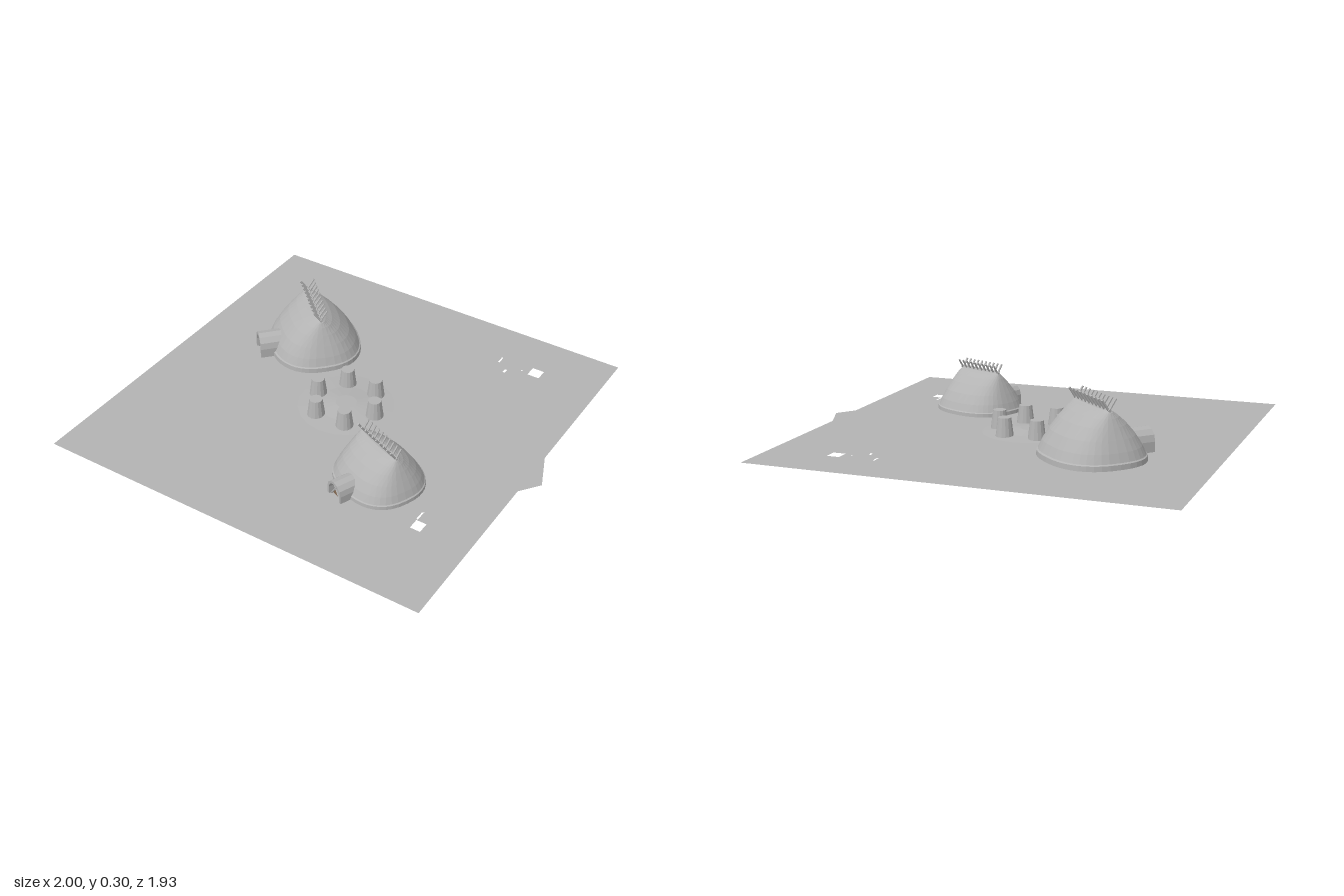
import * as THREE from 'three';

const grey = new THREE.MeshStandardMaterial({ color: 0xb3b3b3, side: THREE.DoubleSide, flatShading: true });
grey.name = 'stoneGrey';
const brown = new THREE.MeshStandardMaterial({ color: 0x856a54, side: THREE.DoubleSide });
brown.name = 'earthBrown';

const V2 = (x, y) => new THREE.Vector2(x, y);

function add(parent, name, geometry, material = grey) {
  const m = new THREE.Mesh(geometry, material);
  m.name = name;
  parent.add(m);
  return m;
}

// Flat shape drawn in x/z at height y
function sheet(shape, y) {
  return new THREE.ShapeGeometry(shape, 32).rotateX(Math.PI / 2).translate(0, y, 0);
}

// Straight pole between two points
function pole(parent, name, a, b, r) {
  const d = b.clone().sub(a);
  const m = add(parent, name, new THREE.CylinderGeometry(r, r, d.length(), 6));
  m.position.copy(a).add(b).multiplyScalar(0.5);
  m.quaternion.setFromUnitVectors(new THREE.Vector3(0, 1, 0), d.normalize());
  return m;
}

// Skin over cross-sections [y, half length, half width], closed at the top
function loft(levels, sides, power) {
  const pos = [], idx = [];
  const soft = v => Math.sign(v) * Math.pow(Math.abs(v), 2 / power);
  for (const [y, a, b] of levels) {
    for (let i = 0; i < sides; i++) {
      const t = (i / sides) * Math.PI * 2;
      pos.push(a * soft(Math.cos(t)), y, b * soft(Math.sin(t)));
    }
  }
  for (let l = 0; l < levels.length - 1; l++) {
    for (let i = 0; i < sides; i++) {
      const p = l * sides + i, q = l * sides + (i + 1) % sides;
      idx.push(p, p + sides, q, q, p + sides, q + sides);
    }
  }
  const last = (levels.length - 1) * sides;
  pos.push(0, levels[levels.length - 1][0], 0);
  for (let i = 0; i < sides; i++) idx.push(last + i, levels.length * sides, last + (i + 1) % sides);
  const g = new THREE.BufferGeometry();
  g.setAttribute('position', new THREE.Float32BufferAttribute(pos, 3));
  g.setIndex(idx);
  g.computeVertexNormals();
  return g;
}

// Upright arch outline with its feet at y = 0
function arch(target, w, h) {
  target.moveTo(-w, 0);
  target.lineTo(w, 0);
  target.lineTo(w, h - w);
  for (let i = 1; i <= 6; i++) {
    const t = (i / 6) * Math.PI;
    target.lineTo(w * Math.cos(t), h - w + w * Math.sin(t));
  }
  target.closePath();
  return target;
}

function makeHut(name, x, z, turn, scale) {
  const hut = new THREE.Group();
  hut.name = name;

  // Wall kerb and rounded roof narrowing to a ridge
  add(hut, 'kerb', loft([[0.005, 0.252, 0.225], [0.035, 0.25, 0.223], [0.042, 0.24, 0.212]], 40, 2.4));
  add(hut, 'roof', loft([
    [0.04, 0.243, 0.215], [0.08, 0.229, 0.196], [0.13, 0.208, 0.163],
    [0.18, 0.186, 0.118], [0.215, 0.17, 0.076], [0.237, 0.158, 0.04], [0.246, 0.148, 0.018],
  ], 40, 2.5));

  // Crossed poles along the ridge
  const count = 10;
  for (let i = 0; i < count; i++) {
    const px = -0.145 + (0.29 * i) / (count - 1);
    for (const s of [-1, 1]) {
      pole(hut, 'ridgePole', new THREE.Vector3(px, 0.222, -s * 0.014),
        new THREE.Vector3(px, 0.294, s * 0.034), 0.0055);
    }
  }
  pole(hut, 'ridgeBeam', new THREE.Vector3(-0.155, 0.246, 0), new THREE.Vector3(0.155, 0.246, 0), 0.007);

  // Arched porch with a brown door and leaning poles
  const porchShape = arch(new THREE.Shape(), 0.06, 0.115);
  porchShape.holes.push(arch(new THREE.Path(), 0.046, 0.1));
  const porch = add(hut, 'porch', new THREE.ExtrudeGeometry(porchShape, { depth: 0.17, bevelEnabled: false }));
  porch.position.set(0, 0.004, 0.115);
  const door = add(hut, 'door', new THREE.ShapeGeometry(
    new THREE.Shape([V2(-0.044, 0), V2(0.044, 0), V2(0, 0.075)])), brown);
  door.position.set(0, 0.012, 0.262);
  for (const s of [-1, 1]) {
    pole(hut, 'doorPole', new THREE.Vector3(s * 0.045, 0.01, 0.272),
      new THREE.Vector3(-s * 0.01, 0.088, 0.272), 0.005);
  }

  hut.position.set(x, 0, z);
  hut.rotation.y = -turn;
  hut.scale.setScalar(scale);
  return hut;
}

export function createModel() {
  const model = new THREE.Group();
  model.name = 'village';
  const cx = -0.035, cz = -0.005;

  // Thin square of ground with small gaps
  const field = new THREE.Shape([V2(-1, -0.97), V2(0.93, -0.97), V2(0.93, 0.96), V2(-1, 0.96)]);
  const gaps = [[0.61, -0.71, 0.06, 0.06], [0.56, -0.692, 0.04, 0.012], [0.675, 0.53, 0.05, 0.055],
    [0.65, 0.47, 0.008, 0.055], [0.475, -0.645, 0.012, 0.025], [0.415, -0.715, 0.008, 0.045]];
  for (const [x, z, w, d] of gaps) {
    field.holes.push(new THREE.Path([V2(x - w / 2, z - d / 2), V2(x - w / 2, z + d / 2),
      V2(x + w / 2, z + d / 2), V2(x + w / 2, z - d / 2)]));
  }
  add(model, 'ground', sheet(field, 0.012));

  // Irregular foundation: grey top, sloped rim, brown underside with a round opening
  const outline = [[1, 0.01], [0.85, -0.355], [0.44, -0.607], [-0.41, -0.88], [-0.79, -0.71],
    [-0.9, -0.16], [-0.72, 0.66], [-0.43, 0.95], [0.13, 0.92], [0.717, 0.38]];
  const outer = outline.map(([x, z]) => V2(x, z));
  const inner = outline.map(([x, z]) => V2(x * 0.963, z * 0.963));
  add(model, 'foundationTop', sheet(new THREE.Shape(outer), 0.009));
  const under = new THREE.Shape(inner);
  under.holes.push(new THREE.Path().absarc(cx, cz, 0.245, 0, Math.PI * 2, true));
  add(model, 'foundationUnderside', sheet(under, 0), brown);
  const rim = [];
  outer.forEach((o, i) => {
    const j = (i + 1) % outer.length, o2 = outer[j], a = inner[i], b = inner[j];
    rim.push(a.x, 0, a.y, b.x, 0, b.y, o.x, 0.009, o.y, b.x, 0, b.y, o2.x, 0.009, o2.y, o.x, 0.009, o.y);
  });
  const rimGeo = new THREE.BufferGeometry();
  rimGeo.setAttribute('position', new THREE.Float32BufferAttribute(rim, 3));
  rimGeo.computeVertexNormals();
  add(model, 'foundationRim', rimGeo);

  // Low hearth mound in the middle
  const hearth = add(model, 'hearth', new THREE.LatheGeometry(
    [V2(0.23, 0.012), V2(0.13, 0.018), V2(0.05, 0.028), V2(0, 0.028)], 20));
  hearth.position.set(cx, 0, cz);

  // Ring of six tapered stools
  for (let i = 0; i < 6; i++) {
    const t = (i * Math.PI) / 3;
    const stool = add(model, 'stool', new THREE.CylinderGeometry(0.031, 0.043, 0.092, 14));
    stool.position.set(cx + 0.158 * Math.cos(t), 0.056, cz + 0.158 * Math.sin(t));
  }

  // Large and small hut
  model.add(makeHut('largeHut', -0.44, -0.34, 0.75, 1));
  model.add(makeHut('smallHut', 0.37, 0.355, 0.4, 0.84));
  return model;
}
